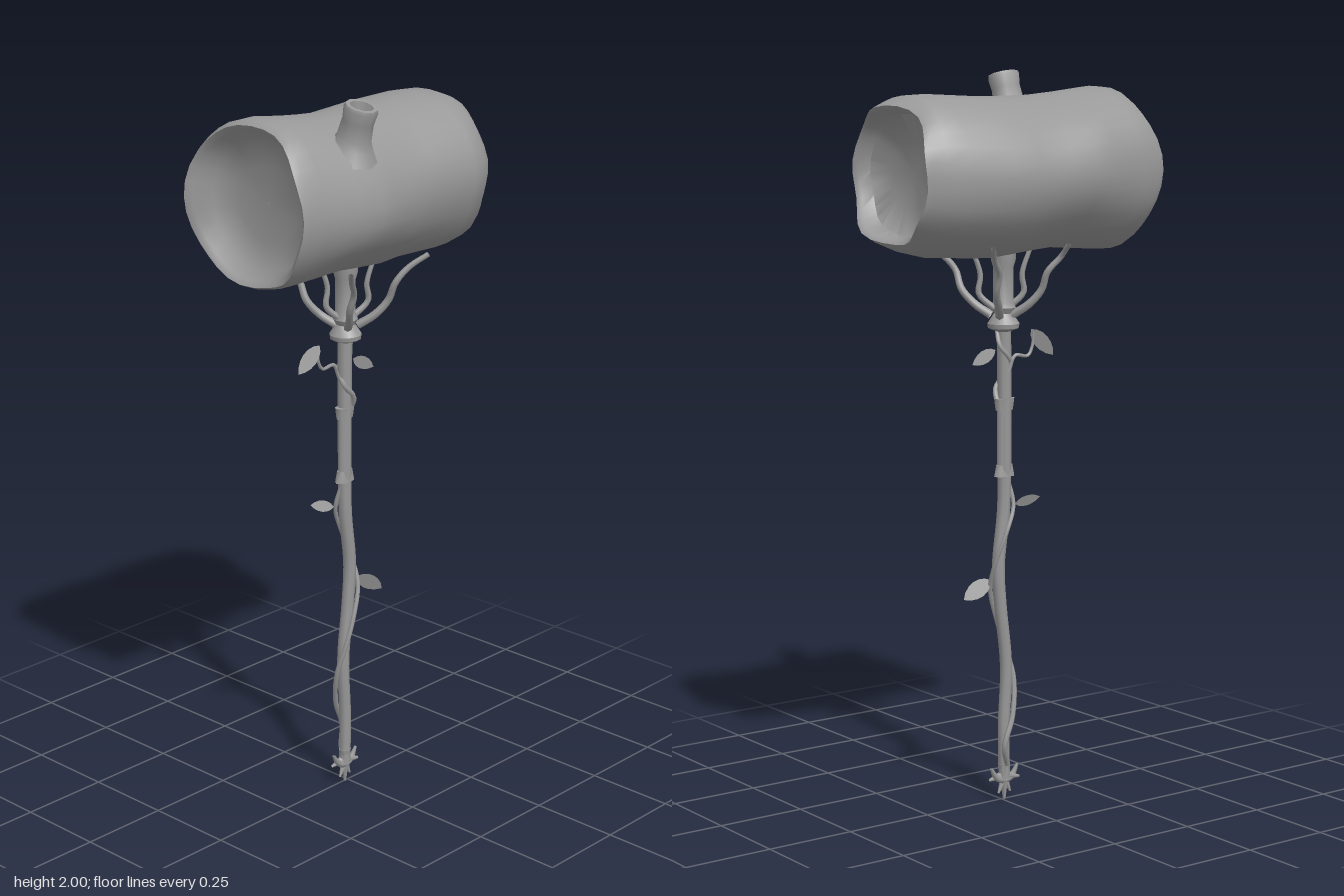
import * as THREE from 'three';
import { toCreasedNormals } from 'three/addons/utils/BufferGeometryUtils.js';

const V = (p) => new THREE.Vector3(...p);

export function createModel() {
  const model = new THREE.Group();
  model.name = 'logMallet';
  const grey = new THREE.MeshStandardMaterial({ color: 0x999999, side: THREE.DoubleSide });
  grey.name = 'grey wood';

  const add = (name, geometry, parent = model) => {
    const mesh = new THREE.Mesh(geometry, grey);
    mesh.name = name;
    parent.add(mesh);
    return mesh;
  };

  // Tube through points, thinning towards its end
  const limb = (name, points, r0, r1, segs = 24, sides = 7) => {
    const curve = new THREE.CatmullRomCurve3(points.map(V));
    const g = new THREE.TubeGeometry(curve, segs, 1, sides);
    const pos = g.attributes.position;
    const p = new THREE.Vector3();
    for (let i = 0; i <= segs; i++) {
      const c = curve.getPointAt(i / segs);
      const r = THREE.MathUtils.lerp(r0, r1, i / segs);
      for (let j = 0; j <= sides; j++) {
        const k = i * (sides + 1) + j;
        p.fromBufferAttribute(pos, k).sub(c).multiplyScalar(r).add(c);
        pos.setXYZ(k, p.x, p.y, p.z);
      }
    }
    return add(name, g);
  };

  // Log head: rings along x, [x, centre y, radius y, radius z, centre z, rim wave weight]
  const rings = [
    [-0.29, 1.735, 0.001, 0.001, 0, 0],
    [-0.295, 1.735, 0.1, 0.1, 0, 0],
    [-0.315, 1.735, 0.175, 0.175, 0, 0.3],
    [-0.355, 1.735, 0.197, 0.195, 0, 1],
    [-0.365, 1.735, 0.212, 0.212, -0.003, 1],
    [-0.345, 1.737, 0.222, 0.22, -0.005, 0.8],
    [-0.3, 1.738, 0.222, 0.226, -0.003, 0.3],
    [-0.2, 1.734, 0.212, 0.236, -0.002, 0],
    [-0.13, 1.733, 0.205, 0.25, -0.002, 0],
    [-0.07, 1.728, 0.206, 0.237, -0.002, 0],
    [0.05, 1.722, 0.212, 0.234, -0.014, 0],
    [0.12, 1.725, 0.212, 0.227, -0.016, 0],
    [0.25, 1.731, 0.214, 0.227, 0.003, 0],
    [0.31, 1.735, 0.207, 0.212, 0.005, 0.4],
    [0.345, 1.735, 0.192, 0.19, 0, 0.8],
    [0.36, 1.735, 0.182, 0.182, 0, 1],
    [0.35, 1.735, 0.17, 0.17, 0, 1],
    [0.315, 1.735, 0.16, 0.16, 0, 0.4],
    [0.29, 1.735, 0.09, 0.09, 0, 0.1],
    [0.28, 1.735, 0.001, 0.001, 0, 0],
  ];
  const N = 32;
  const verts = [];
  const index = [];
  rings.forEach(([x, cy, ry, rz, cz, w], i) => {
    for (let j = 0; j < N; j++) {
      const a = (j / N) * Math.PI * 2;
      const wave = x < 0
        ? 0.017 * Math.cos(2 * a) + 0.006 * Math.sin(5 * a)
        : 0.013 * Math.cos(3 * a - 0.9) + 0.01 * Math.cos(5 * a - 0.6);
      const k = 1 + 0.012 * Math.cos(4 * a + x * 7) + 0.008 * Math.sin(7 * a - x * 9);
      verts.push(x + w * wave, cy + ry * k * Math.cos(a), cz + rz * k * Math.sin(a));
      if (i < rings.length - 1) {
        const n = i * N + ((j + 1) % N);
        const c = i * N + j;
        index.push(c, n, c + N, n, n + N, c + N);
      }
    }
  });
  const logGeo = new THREE.BufferGeometry();
  logGeo.setAttribute('position', new THREE.Float32BufferAttribute(verts, 3));
  logGeo.setIndex(index);
  add('logHead', toCreasedNormals(logGeo, 0.95));

  // Hollow sawn-off branch on the log
  const stubProfile = [[0.075, -0.02], [0.056, 0.012], [0.045, 0.035], [0.041, 0.08],
    [0.045, 0.112], [0.042, 0.121], [0.031, 0.121], [0.026, 0.1], [0, 0.098]];
  const stub = add('branchStub', toCreasedNormals(
    new THREE.LatheGeometry(stubProfile.map((p) => new THREE.Vector2(...p)), 10), 0.8));
  stub.position.set(-0.145, 1.875, 0.15);
  stub.quaternion.setFromUnitVectors(V([0, 1, 0]), V([0.02, 0.95, 0.28]).normalize());

  // Crooked handle
  limb('handle', [[-0.01, 0.06, 0], [-0.008, 0.2, 0], [-0.016, 0.38, 0], [0.003, 0.55, 0],
    [0.01, 0.66, 0], [-0.008, 0.82, 0], [-0.01, 1, 0], [-0.01, 1.2, 0], [-0.008, 1.35, 0]],
  0.016, 0.02, 48, 8);

  // Neck with flared collar under the log
  const neckProfile = [[0.018, 1.305], [0.042, 1.315], [0.044, 1.327], [0.026, 1.355],
    [0.034, 1.37], [0.028, 1.385], [0.028, 1.48], [0.034, 1.5], [0.034, 1.56]];
  add('neckCollar', toCreasedNormals(
    new THREE.LatheGeometry(neckProfile.map((p) => new THREE.Vector2(...p)), 12), 0.7))
    .position.x = -0.007;

  // Grip with flattened end bands
  const grip = add('grip', new THREE.CylinderGeometry(0.022, 0.022, 0.19, 10));
  grip.position.set(-0.01, 1.015, 0);
  grip.scale.z = 0.75;
  for (const [y, top, bottom] of [[1.107, 0.034, 0.029], [0.925, 0.027, 0.034]]) {
    const band = add('gripBand', toCreasedNormals(
      new THREE.CylinderGeometry(top, bottom, 0.032, 8), 0.8));
    band.position.set(-0.01, y, 0);
    band.scale.z = 0.55;
  }

  // Root-like prongs holding the log
  for (const [sx, sz, ex] of [[-1, 1, 0.15], [1, 1, 0.15], [-1, -1, 0.11], [1, -1, 0.14]]) {
    limb('headProng', [[sx * 0.02, 1.35, sz * 0.02], [sx * 0.05, 1.38, sz * 0.055],
      [sx * 0.075, 1.42, sz * 0.08], [sx * 0.08, 1.47, sz * 0.1],
      [sx * 0.11, 1.51, sz * 0.12], [sx * ex, 1.545, sz * 0.155]], 0.012, 0.007, 20, 6);
  }
  for (const s of [-1, 1]) {
    limb('innerProng', [[s * 0.025, 1.37, 0], [s * 0.06, 1.41, s * 0.02],
      [s * 0.055, 1.46, s * 0.02], [s * 0.08, 1.54, s * 0.03]], 0.009, 0.006, 16, 6);
  }

  // Vines winding around the handle
  limb('lowerVine', [[-0.01, 0.1, -0.015], [0.012, 0.16, -0.032], [-0.02, 0.24, -0.025],
    [-0.042, 0.34, 0], [-0.03, 0.42, 0.02], [-0.005, 0.5, 0.026], [0.026, 0.6, 0.016],
    [0.026, 0.68, -0.012], [0, 0.76, -0.026], [-0.028, 0.83, -0.018], [-0.022, 0.9, 0]],
  0.008, 0.006, 60, 6);
  limb('upperVine', [[0.012, 1.11, 0], [0.006, 1.15, 0.018], [-0.025, 1.19, 0.012],
    [-0.015, 1.23, -0.018], [0.014, 1.27, -0.012], [0.006, 1.32, 0.014]], 0.008, 0.006, 30, 6);
  limb('leafTendril', [[-0.012, 1.2, -0.018], [-0.03, 1.24, -0.022], [-0.07, 1.237, -0.025],
    [-0.085, 1.26, -0.025], [-0.09, 1.3, -0.025]], 0.006, 0.004, 20, 5);

  // Leaves from stem to tip, slightly folded along the midrib
  const leaf = (from, to, width) => {
    const a = V(from);
    const dir = V(to).sub(a);
    const length = dir.length();
    const shape = new THREE.Shape();
    shape.moveTo(0, 0);
    shape.bezierCurveTo(width * 0.7, length * 0.2, width * 0.7, length * 0.7, 0, length);
    shape.bezierCurveTo(-width * 0.7, length * 0.7, -width * 0.7, length * 0.2, 0, 0);
    const mesh = add('leaf', new THREE.ShapeGeometry(shape, 6));
    mesh.position.copy(a);
    mesh.quaternion.setFromUnitVectors(V([0, 1, 0]), dir.normalize());
  };
  leaf([-0.086, 1.308, -0.02], [-0.146, 1.235, -0.04], 0.04);
  leaf([0.012, 1.255, 0.01], [0.082, 1.218, 0.02], 0.034);
  leaf([-0.03, 0.832, -0.022], [-0.098, 0.85, -0.045], 0.03);
  leaf([0.026, 0.622, 0.014], [0.098, 0.57, 0.04], 0.045);

  // Root tip: central spike and flat side spurs
  const tip = add('rootTip', new THREE.CylinderGeometry(0.018, 0.004, 0.1, 7));
  tip.position.set(-0.01, 0.05, 0);
  for (const s of [-1, 1]) {
    limb('rootSpur', [[-0.01, 0.055, 0], [-0.01 + s * 0.025, 0.062, 0],
      [-0.01 + s * 0.045, 0.092, 0]], 0.014, 0.004, 8, 6);
    limb('rootSpur', [[-0.01, 0.07, 0], [-0.01 + s * 0.022, 0.063, s * 0.004],
      [-0.01 + s * 0.046, 0.058, s * 0.006]], 0.013, 0.004, 8, 6);
    limb('rootSpur', [[-0.01, 0.06, 0], [-0.01 + s * 0.012, 0.035, 0],
      [-0.01 + s * 0.02, 0.018, 0]], 0.011, 0.003, 8, 6);
  }
  return model;
}
